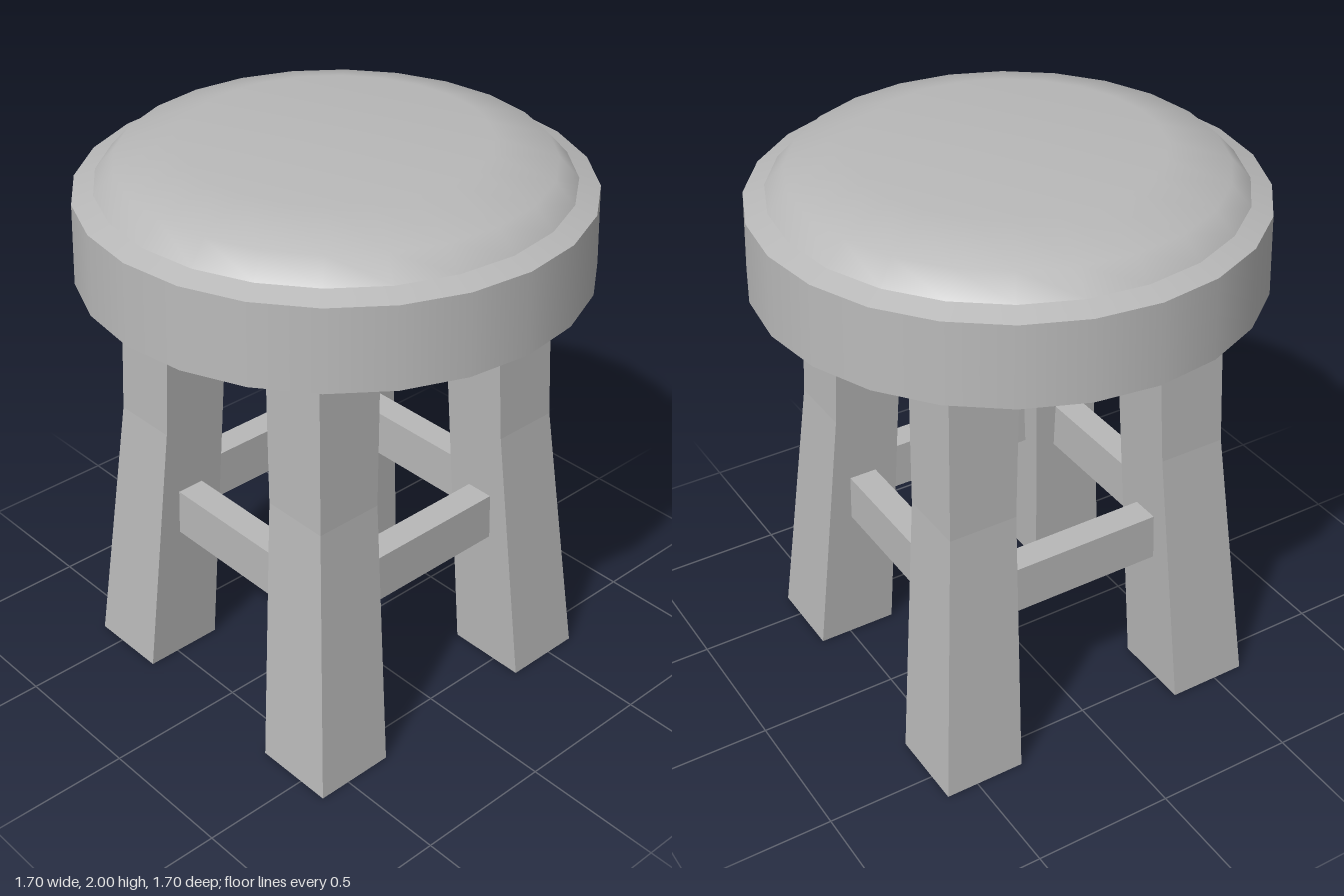
import * as THREE from 'three';

const SIDES = 24;

export function createModel() {
  const grey = new THREE.MeshStandardMaterial({ color: 0xb8b8b8 });
  grey.name = 'plain grey';
  const stool = new THREE.Group();
  stool.name = 'stool';

  const add = (name, geometry, parent = stool) => {
    const mesh = new THREE.Mesh(geometry, grey);
    mesh.name = name;
    parent.add(mesh);
    return mesh;
  };
  const lathe = (points) =>
    new THREE.LatheGeometry(points.map(([r, y]) => new THREE.Vector2(r, y)), SIDES);

  // Seat: separate lathes keep the edges between them sharp
  const seat = new THREE.Group();
  seat.name = 'seat';
  stool.add(seat);
  add('seatUnderside', lathe([[0, 1.57], [0.85, 1.57]]), seat);
  add('seatWall', lathe([[0.85, 1.57], [0.84, 1.845]]), seat);
  add('seatRim', lathe([[0.84, 1.845], [0.77, 1.87]]), seat);
  add('cushion', lathe([[0.77, 1.87], [0.705, 1.94], [0.5, 2], [0, 2]]), seat);

  // Leg sections: height, inner and outer x, inner and outer z
  const sections = [
    [0, 0.315, 0.61, 0.325, 0.615],
    [0.98, 0.265, 0.508, 0.285, 0.528],
    [1.58, 0.237, 0.485, 0.258, 0.508],
  ];

  // A splayed, tapering leg with a slight bend, shaped from a box
  const legGeometry = (sx, sz) => {
    const box = new THREE.BoxGeometry(1, 2, 1, 1, 2, 1).toNonIndexed();
    const p = box.attributes.position;
    for (let i = 0; i < p.count; i++) {
      const [y, x0, x1, z0, z1] = sections[Math.round(p.getY(i) + 1)];
      p.setXYZ(
        i,
        (sx * (x0 + x1)) / 2 + p.getX(i) * (x1 - x0),
        y,
        (sz * (z0 + z1)) / 2 + p.getZ(i) * (z1 - z0)
      );
    }
    box.computeVertexNormals();
    return box;
  };
  for (const [sx, side] of [[1, 'Left'], [-1, 'Right']]) {
    for (const [sz, end] of [[1, 'front'], [-1, 'back']]) {
      add(`${end}${side}Leg`, legGeometry(sx, sz));
    }
  }

  // Rails joining neighbouring legs, their ends buried in the legs
  for (const s of [1, -1]) {
    add(s > 0 ? 'frontRail' : 'backRail', new THREE.BoxGeometry(0.66, 0.175, 0.1))
      .position.set(0, 0.6325, s * 0.43);
    add(s > 0 ? 'leftRail' : 'rightRail', new THREE.BoxGeometry(0.1, 0.175, 0.68))
      .position.set(s * 0.415, 0.6325, 0);
  }
  return stool;
}
